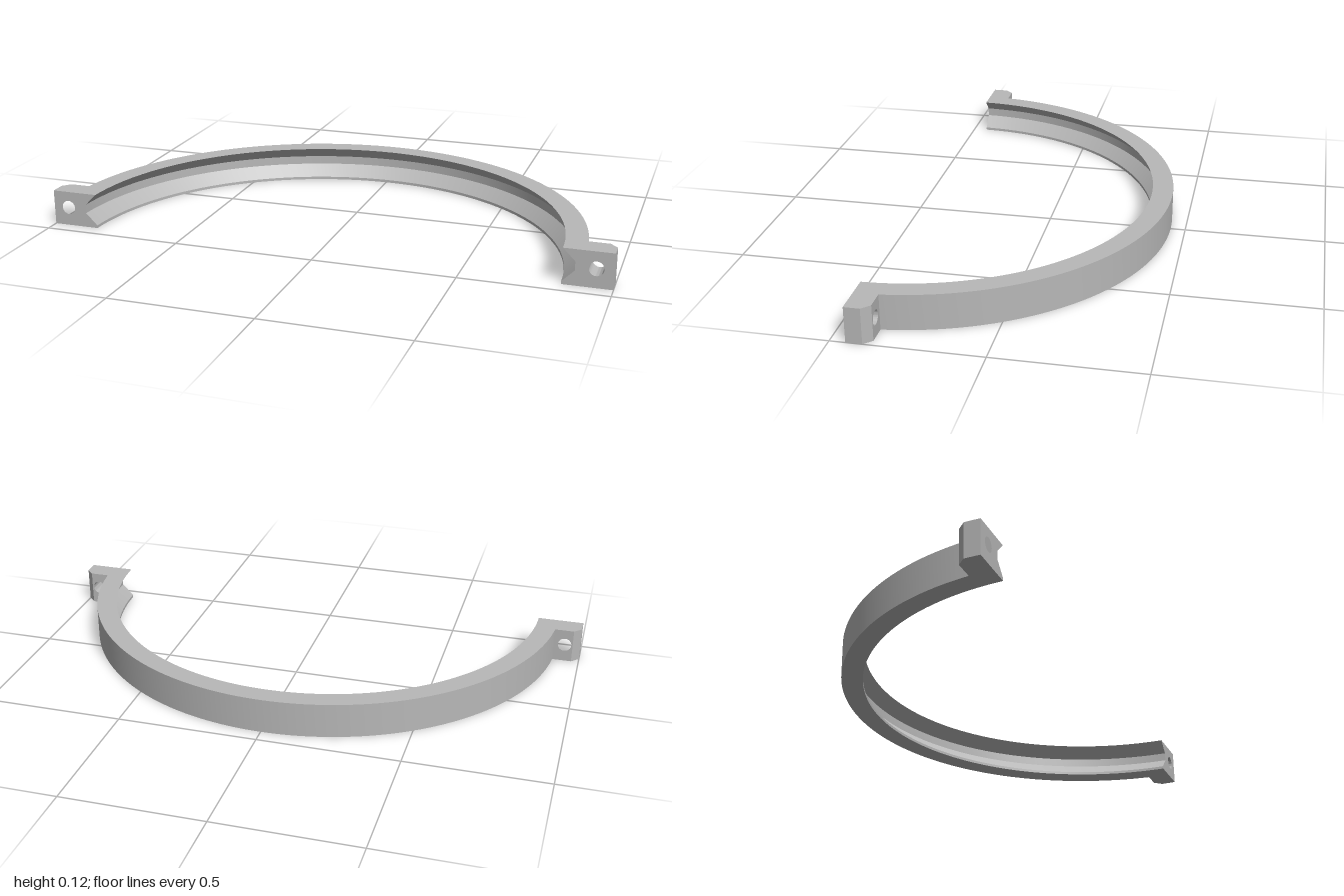
import * as THREE from 'three';
import { toCreasedNormals } from 'three/addons/utils/BufferGeometryUtils.js';

const HEIGHT = 0.125;
const CENTER_Z = 0.461; // centre of the arc, just beyond the flat mating faces
const END_Z = 0.447;    // plane of the mating faces

// Half ring swept from a cross-section with a V-shaped groove inside
function halfRing(segments) {
  // cross-section (radius, height), counter-clockwise
  const profile = [
    [0.833, 0], [0.908, 0], [0.908, HEIGHT], [0.833, HEIGHT],
    [0.875, 0.083], [0.875, 0.052], [0.833, 0.01],
  ].map(([r, y]) => new THREE.Vector2(r, y));
  const n = profile.length;
  const positions = [];
  const index = [];

  for (let i = 0; i <= segments; i++) {
    for (const p of profile) {
      // each radius starts where it meets the mating plane
      const start = Math.asin((CENTER_Z - END_Z) / p.x);
      const a = start + (Math.PI - 2 * start) * (i / segments);
      positions.push(p.x * Math.cos(a), p.y, CENTER_Z - p.x * Math.sin(a));
    }
  }
  for (let i = 0; i < segments; i++) {
    for (let j = 0; j < n; j++) {
      const a = i * n + j;
      const b = i * n + ((j + 1) % n);
      index.push(a, a + n, b, b, a + n, b + n);
    }
  }
  // flat ends
  const last = segments * n;
  for (const [a, b, c] of THREE.ShapeUtils.triangulateShape(profile, [])) {
    index.push(a, b, c, last + a, last + c, last + b);
  }

  const geometry = new THREE.BufferGeometry();
  geometry.setAttribute('position', new THREE.Float32BufferAttribute(positions, 3));
  geometry.setIndex(index);
  return toCreasedNormals(geometry, 0.5);
}

// Bolt ear with a through hole and a chamfered outer back edge
function boltEar(side) {
  const inner = 0.9;
  const depth = 0.082;
  const chamfer = 0.027;
  const shape = new THREE.Shape();
  shape.moveTo(side * inner, 0);
  shape.lineTo(side, 0);
  shape.lineTo(side, HEIGHT);
  shape.lineTo(side * inner, HEIGHT);
  shape.closePath();
  const hole = new THREE.Path();
  hole.absarc(side * 0.943, 0.066, 0.025, 0, Math.PI * 2, true);
  shape.holes.push(hole);

  const geometry = new THREE.ExtrudeGeometry(shape, {
    depth, steps: 3, curveSegments: 24, bevelEnabled: false,
  });
  // pull the outer back edge inwards
  const pos = geometry.attributes.position;
  for (let i = 0; i < pos.count; i++) {
    if (pos.getZ(i) < 0.001 && Math.abs(pos.getX(i)) > 0.999) {
      pos.setX(i, side * (1 - chamfer));
    }
  }
  geometry.translate(0, 0, END_Z - depth);
  return toCreasedNormals(geometry, 0.5);
}

export function createModel() {
  const grey = new THREE.MeshStandardMaterial({ color: 0xb8b8b8 });
  grey.name = 'grey metal';

  const group = new THREE.Group();
  group.name = 'halfRingClamp';

  const add = (name, geometry) => {
    const mesh = new THREE.Mesh(geometry, grey);
    mesh.name = name;
    group.add(mesh);
  };
  add('groovedHalfRing', halfRing(96));
  add('leftBoltEar', boltEar(1));
  add('rightBoltEar', boltEar(-1));
  return group;
}
